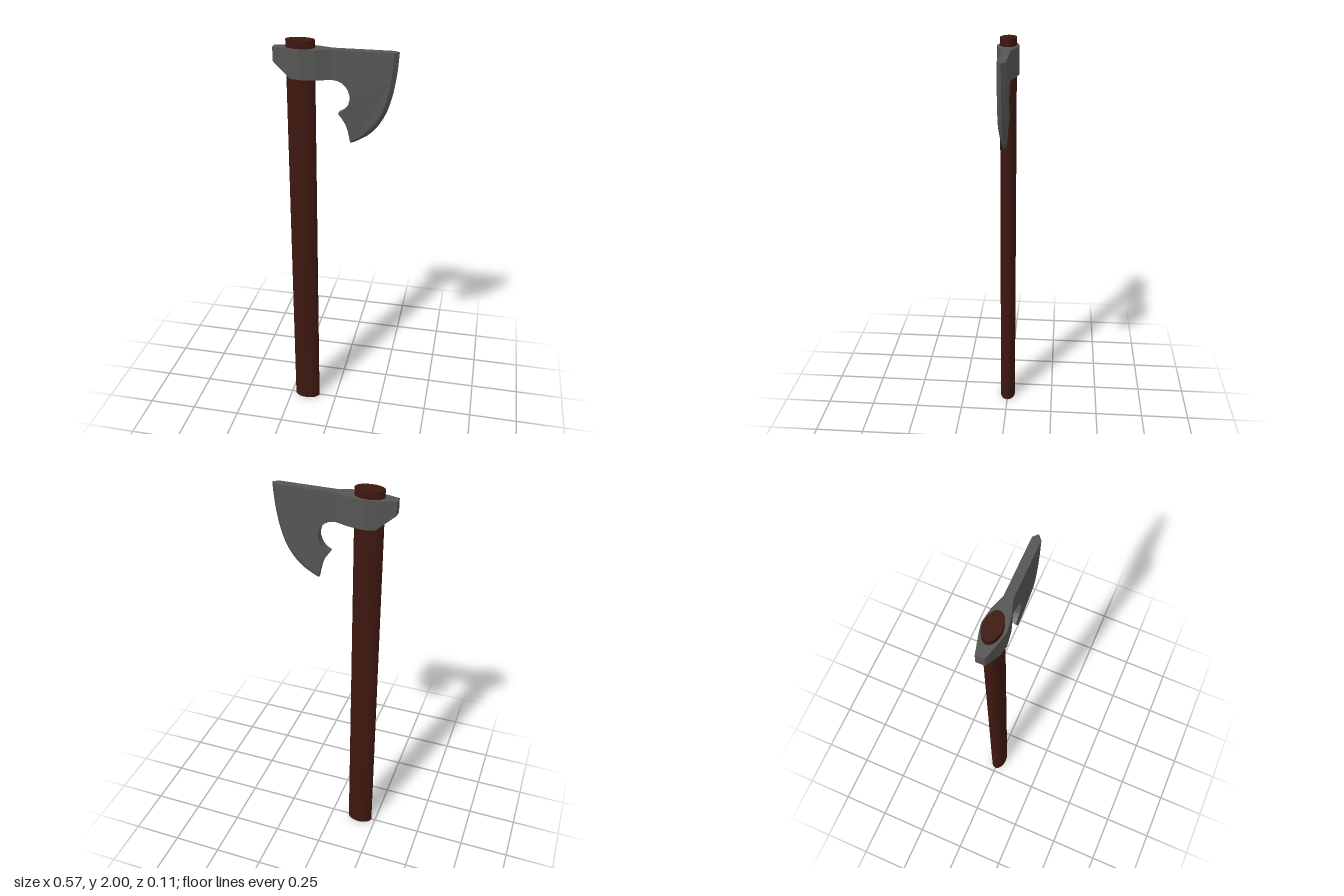
import * as THREE from 'three';

const TOP = 1.965;

// Collects flat-shaded quads and triangles
function faceBuilder() {
  const pos = [];
  const tri = (a, b, c) => pos.push(...a, ...b, ...c);
  const quad = (a, b, c, d) => { tri(a, b, c); tri(a, c, d); };
  const build = () => {
    const g = new THREE.BufferGeometry();
    g.setAttribute('position', new THREE.Float32BufferAttribute(pos, 3));
    g.computeVertexNormals();
    return g;
  };
  return { tri, quad, build };
}

// Socket: rectangular sections [x, bottom y, half thickness] joined along x
function socketGeometry() {
  const f = faceBuilder();
  const rings = [
    [-0.285, 1.9, 0.02], [-0.2, 1.83, 0.043], [-0.152, 1.83, 0.053],
    [-0.085, 1.83, 0.043], [-0.015, 1.83, 0.02],
  ].map(([x, y, t]) => [[x, y, t], [x, TOP, t], [x, TOP, -t], [x, y, -t]]);
  for (let i = 0; i < rings.length - 1; i++) {
    for (let k = 0; k < 4; k++) {
      const n = (k + 1) % 4;
      f.quad(rings[i][k], rings[i + 1][k], rings[i + 1][n], rings[i][n]);
    }
  }
  f.quad(...rings[0]);
  return f.build();
}

// Blade: flat cheeks, side walls and a bevel running to the cutting edge
function bladeGeometry() {
  const f = faceBuilder();
  const curve = (pts, n) =>
    new THREE.SplineCurve(pts.map((p) => new THREE.Vector2(...p))).getPoints(n);
  const shoulder = curve([[0.07, 1.535], [0.15, 1.593], [0.205, 1.665],
    [0.237, 1.75], [0.256, 1.86], [0.263, TOP]], 12);
  const edge = curve([[0.085, 1.535], [0.16, 1.58], [0.218, 1.652],
    [0.254, 1.742], [0.276, 1.855], [0.285, TOP]], 12);

  // Underside: round notch, then the hollow back of the beard
  const notch = [];
  for (let i = 0; i <= 10; i++) {
    const a = THREE.MathUtils.degToRad(90 - 16 * i);
    notch.push(new THREE.Vector2(-0.012 + 0.08 * Math.cos(a), 1.75 + 0.08 * Math.sin(a)));
  }
  const beard = curve([[0.016, 1.672], [0.046, 1.63], [0.061, 1.585], [0.07, 1.535]], 5);
  const under = [new THREE.Vector2(-0.015, 1.83), ...notch, ...beard.slice(0, -1)];
  const outline = [...under, ...shoulder, new THREE.Vector2(-0.015, TOP)];

  // The beard thins towards its tip
  const at = (p, s) => [p.x, p.y,
    s * THREE.MathUtils.mapLinear(THREE.MathUtils.clamp(p.y, 1.535, 1.68), 1.535, 1.68, 0.008, 0.02)];
  const mid = (p) => [p.x, p.y, 0];

  for (const [a, b, c] of THREE.ShapeUtils.triangulateShape(outline, [])) {
    const [p, q, r] = [outline[a], outline[b], outline[c]];
    const ccw = (q.x - p.x) * (r.y - p.y) - (q.y - p.y) * (r.x - p.x) > 0;
    const [u, v] = ccw ? [q, r] : [r, q];
    f.tri(at(p, 1), at(u, 1), at(v, 1));
    f.tri(at(p, -1), at(v, -1), at(u, -1));
  }
  const wall = (p, q) => f.quad(at(p, 1), at(p, -1), at(q, -1), at(q, 1));
  for (let i = 0; i < under.length; i++) wall(outline[i], outline[i + 1]);
  const last = shoulder.length - 1;
  wall(shoulder[last], outline[outline.length - 1]);

  for (let i = 0; i < last; i++) {
    const [p, q, e, g] = [shoulder[i], shoulder[i + 1], edge[i], edge[i + 1]];
    f.quad(at(p, 1), mid(e), mid(g), at(q, 1));
    f.quad(at(q, -1), mid(g), mid(e), at(p, -1));
  }
  f.tri(at(shoulder[0], 1), at(shoulder[0], -1), mid(edge[0]));
  f.tri(at(shoulder[last], 1), mid(edge[last]), at(shoulder[last], -1));
  return f.build();
}

export function createModel() {
  const group = new THREE.Group();
  const wood = new THREE.MeshStandardMaterial({ color: 0x3d170f });
  const steel = new THREE.MeshStandardMaterial({ color: 0x555553 });
  const add = (name, geometry, material) => {
    const mesh = new THREE.Mesh(geometry, material);
    mesh.name = name;
    group.add(mesh);
    return mesh;
  };

  // Oval shaft
  const shaft = new THREE.CylinderGeometry(1, 1, 2, 32);
  shaft.scale(0.067, 1, 0.04);
  add('handle', shaft, wood).position.set(-0.161, 1, 0);

  // Axe head
  add('socket', socketGeometry(), steel);
  add('blade', bladeGeometry(), steel);
  return group;
}
